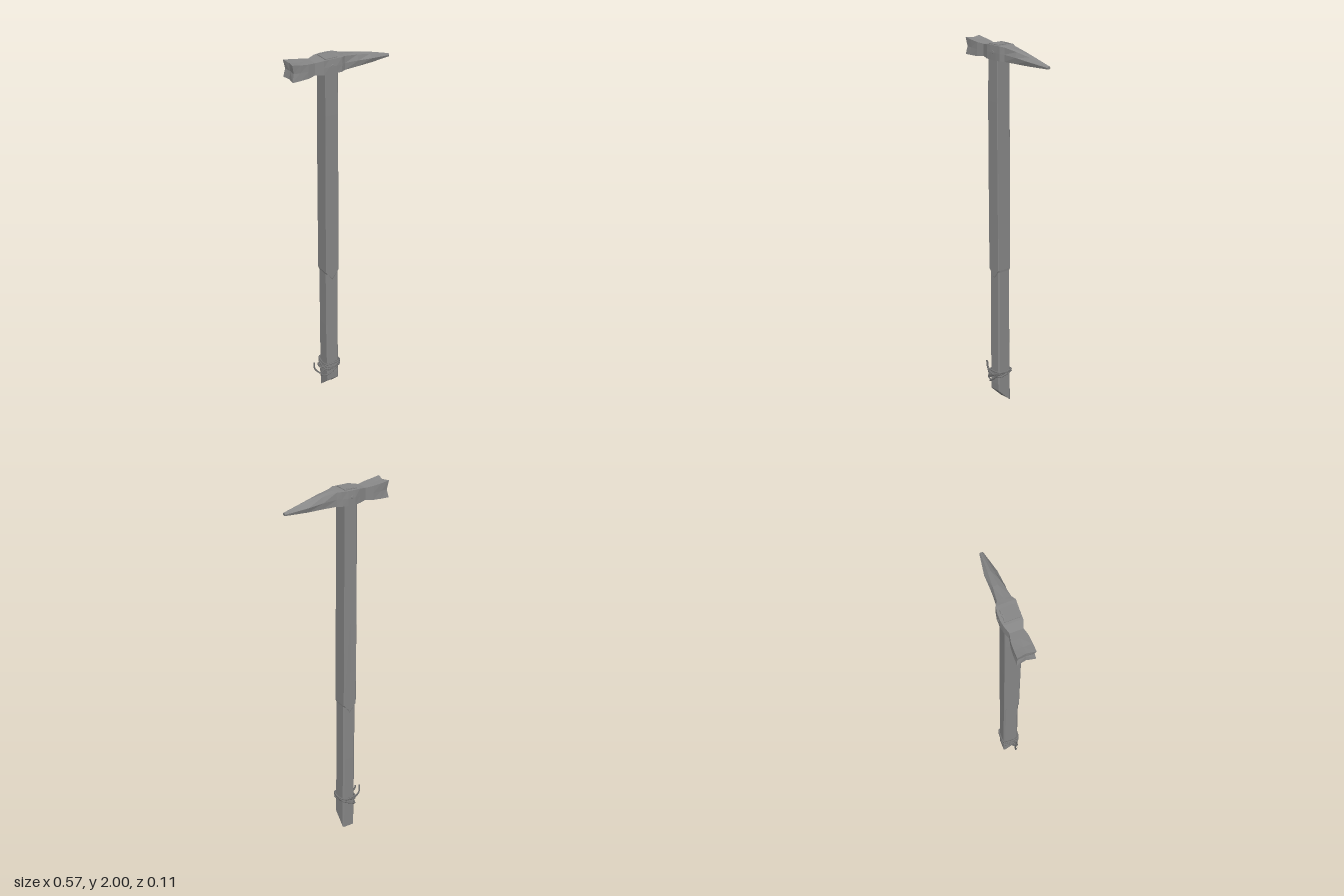
import * as THREE from 'three';

const steel = new THREE.MeshStandardMaterial({ color: 0x888888, flatShading: true });
const wood = new THREE.MeshStandardMaterial({ color: 0x868686, flatShading: true });
const twine = new THREE.MeshStandardMaterial({ color: 0x777777 });

// Skin a list of equal-length rings, with fan caps; dent pushes the first cap centre inwards
function loft(rings, dent = [0, 0, 0]) {
  const tris = [];
  const n = rings[0].length;
  for (let i = 0; i < rings.length - 1; i++) {
    for (let j = 0; j < n; j++) {
      const k = (j + 1) % n;
      const [a, b, c, d] = [rings[i][j], rings[i][k], rings[i + 1][k], rings[i + 1][j]];
      tris.push([a, b, c], [a, c, d]);
    }
  }
  const centre = (ring) => ring.reduce((s, p) => s.add(p), new THREE.Vector3()).divideScalar(n);
  const first = rings[0], last = rings[rings.length - 1];
  const c0 = centre(first).add(new THREE.Vector3(...dent)), c1 = centre(last);
  for (let j = 0; j < n; j++) {
    const k = (j + 1) % n;
    tris.push([c0, first[k], first[j]], [c1, last[j], last[k]]);
  }
  // Turn every face outwards if the rings run the other way
  const origin = centre(first);
  let volume = 0;
  for (const t of tris) {
    const [a, b, c] = t.map((p) => p.clone().sub(origin));
    volume += a.dot(b.cross(c));
  }
  if (volume < 0) tris.forEach((t) => t.reverse());
  const geometry = new THREE.BufferGeometry().setFromPoints(tris.flat());
  geometry.computeVertexNormals();
  return geometry;
}

function add(group, name, geometry, material) {
  const mesh = new THREE.Mesh(geometry, material);
  mesh.name = name;
  group.add(mesh);
  return mesh;
}

// Eight-point head section: four corners and four side midpoints.
// corner and mid scale the corner and midpoint distances.
function headRing([x, z0, z1, y0, y1, corner, mid, endShift = 0]) {
  const cy = (y0 + y1) / 2, cz = (z0 + z1) / 2;
  const hy = (y1 - y0) / 2, hz = (z1 - z0) / 2;
  const dirs = [[-1, -1], [-1, 0], [-1, 1], [0, 1], [1, 1], [1, 0], [1, -1], [0, -1]];
  return dirs.map(([v, w]) => {
    const isCorner = v !== 0 && w !== 0;
    const s = isCorner ? corner : mid;
    // The underside stays broad while the top narrows
    const across = isCorner && v < 0 ? (1 + corner) / 2 : s;
    return new THREE.Vector3(
      x + (isCorner ? 0 : endShift),
      cy + v * hy * (isCorner && v > 0 ? (1 + corner) / 2 : mid),
      cz + w * hz * across
    );
  });
}

// Rectangular handle section with chamfer c and a midpoint on each wide face
function handleRing(c, y, x0, x1, z0, z1, yShift = () => 0, midDrop = 0) {
  return [
    [x0 + c, z1], [(x0 + x1) / 2, z1], [x1 - c, z1], [x1, z1 - c], [x1, z0 + c],
    [x1 - c, z0], [(x0 + x1) / 2, z0], [x0 + c, z0], [x0, z0 + c], [x0, z1 - c],
  ].map(([x, z], i) => new THREE.Vector3(x, y + yShift(z) - (i === 1 || i === 6 ? midDrop : 0), z));
}

function tube(points, radius, closed = false) {
  const curve = new THREE.CatmullRomCurve3(points.map((p) => new THREE.Vector3(...p)), closed);
  return new THREE.TubeGeometry(curve, closed ? 40 : 24, radius, 6, closed);
}

export function createModel() {
  const model = new THREE.Group();
  model.name = 'hammer';

  // Handle: slanted foot, chamfered grip, then a V-shaped step to the square shaft
  const slant = (z) => 0.08 * Math.pow(THREE.MathUtils.clamp((z + 0.039) / 0.083, 0, 1), 1.3);
  const level = () => 0;
  add(model, 'handle', loft([
    handleRing(0.006, 0, -0.102, -0.032, -0.039, 0.044, slant),
    handleRing(0.007, 0.12, -0.104, -0.032, -0.039, 0.046),
    handleRing(0.009, 0.45, -0.106, -0.034, -0.039, 0.044),
    handleRing(0.008, 0.78, -0.106, -0.034, -0.038, 0.043, level, 0.042),
    handleRing(0.003, 0.79, -0.109, -0.033, -0.040, 0.046, level, 0.042),
    handleRing(0.003, 1.3, -0.109, -0.034, -0.039, 0.048),
    handleRing(0.003, 1.7, -0.108, -0.035, -0.037, 0.049),
    handleRing(0.003, 1.93, -0.106, -0.036, -0.036, 0.047),
  ]), wood);

  // Head: notched striking end, waist, swollen eye, tapering pick
  const sections = [
    // x, back z, front z, bottom y, top y, corner, mid, end shift
    [-0.283, -0.048, 0.043, 1.908, 2.0, 1, 0.9, 0.009],
    [-0.240, -0.047, 0.043, 1.911, 1.992, 1, 0.95],
    [-0.195, -0.044, 0.042, 1.914, 1.986, 1, 1],
    [-0.155, -0.034, 0.033, 1.919, 1.981, 1, 1],
    [-0.115, -0.047, 0.047, 1.915, 1.988, 1, 1],
    [-0.085, -0.054, 0.050, 1.914, 1.990, 0.95, 1],
    [-0.045, -0.053, 0.052, 1.914, 1.990, 0.95, 1],
    [-0.015, -0.045, 0.051, 1.914, 1.989, 1, 1],
    [0.008, -0.032, 0.040, 1.914, 1.986, 0.95, 1],
    [0.085, -0.031, 0.038, 1.914, 1.977, 0.7, 1],
    [0.165, -0.031, 0.033, 1.913, 1.962, 0.45, 1],
    [0.283, -0.010, 0.009, 1.914, 1.928, 0.6, 1],
  ];
  add(model, 'head', loft(sections.map(headRing), [0.008, 0, 0]), steel);

  // Handle end and wedge showing in the top of the eye
  const end = add(model, 'handleEnd', new THREE.BoxGeometry(0.068, 0.012, 0.078), wood);
  end.position.set(-0.069, 1.987, 0.002);
  const wedge = add(model, 'wedge', new THREE.BoxGeometry(0.044, 0.008, 0.006), steel);
  wedge.position.set(-0.069, 1.991, -0.030);

  // Small rivets on both sides of the eye
  for (const [side, z] of [[1, 0.050], [-1, -0.053]]) {
    const rivet = add(model, 'rivet', new THREE.CylinderGeometry(0.007, 0.009, 0.006, 10), steel);
    rivet.rotation.x = side * Math.PI / 2;
    rivet.position.set(-0.068, 1.955, z);
  }

  // Cord: tilted turns around the grip
  const cord = new THREE.Group();
  cord.name = 'cord';
  model.add(cord);
  const squarish = (v) => Math.sign(v) * Math.pow(Math.abs(v), 0.4);
  for (const [y, tiltX, tiltZ] of [[0.188, 0.05, 0.1], [0.176, 0.3, -0.15], [0.165, 0.5, 0.1], [0.180, -0.1, -0.2]]) {
    const turn = [];
    for (let i = 0; i < 16; i++) {
      const a = ((i + 0.5) / 16) * Math.PI * 2;
      const dx = 0.045 * squarish(Math.cos(a));
      const dz = 0.048 * squarish(Math.sin(a));
      turn.push([-0.068 + dx, y + tiltX * dx + tiltZ * dz, 0.003 + dz]);
    }
    add(cord, 'cordTurn', tube(turn, 0.005, true), twine);
  }

  // Knot and two loose curling tails at the side
  const knot = add(cord, 'knot', new THREE.TorusGeometry(0.014, 0.006, 6, 14), twine);
  knot.position.set(-0.118, 0.148, 0.012);
  knot.rotation.y = 0.5;
  add(cord, 'cordTail', tube([[-0.107, 0.165, 0.025], [-0.130, 0.125, 0.020], [-0.150, 0.140, 0.014],
    [-0.168, 0.170, 0.010], [-0.170, 0.212, 0.014]], 0.0045), twine);
  add(cord, 'cordTail', tube([[-0.110, 0.175, 0.010], [-0.118, 0.105, 0.012], [-0.135, 0.120, 0.028],
    [-0.130, 0.165, 0.030], [-0.148, 0.185, 0.026], [-0.152, 0.210, 0.022]], 0.0045), twine);
  add(cord, 'cordLoop', tube([[-0.030, 0.185, 0.050], [-0.070, 0.145, 0.053], [-0.108, 0.118, 0.043],
    [-0.125, 0.110, 0.015], [-0.112, 0.145, 0.005]], 0.005), twine);

  return model;
}
